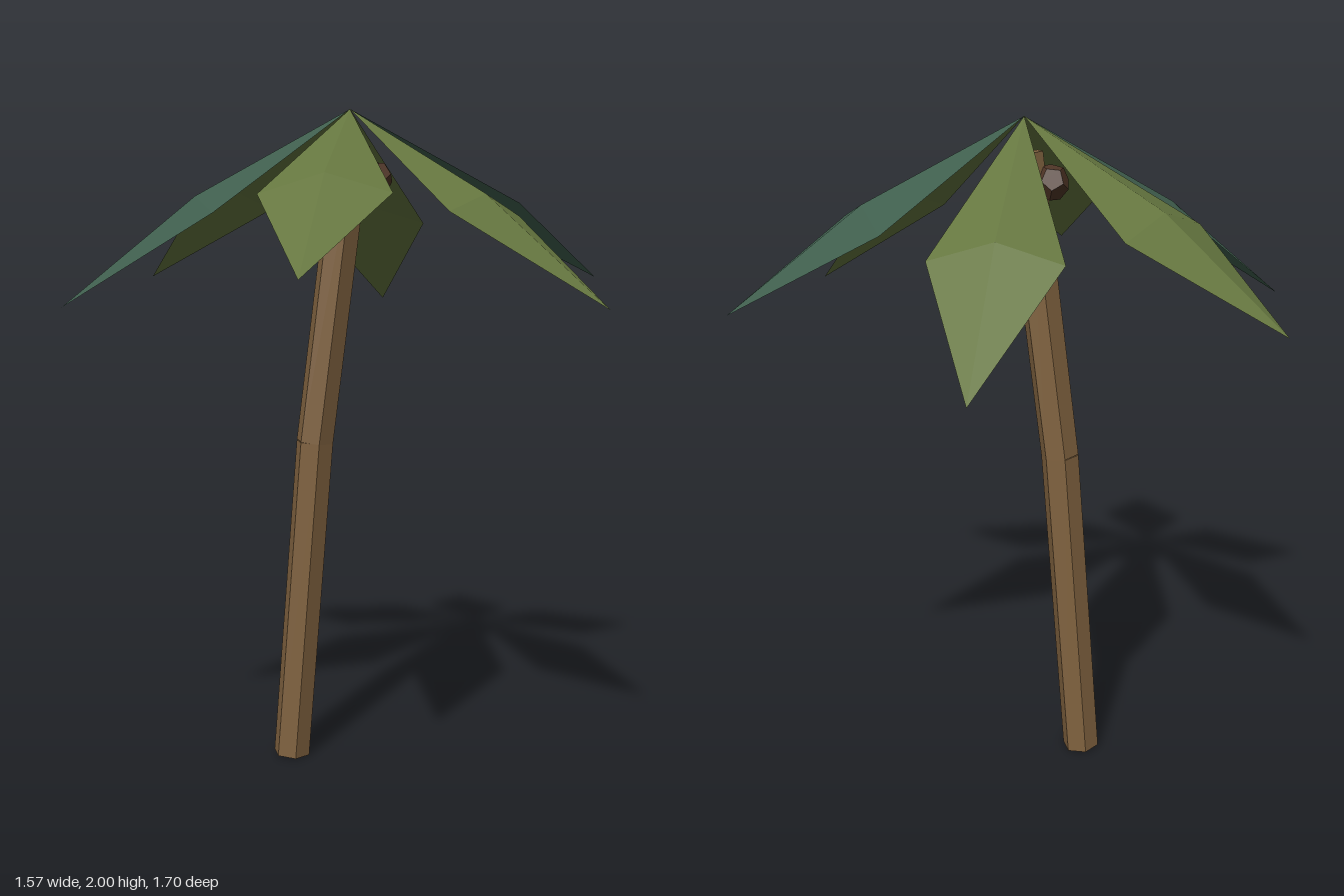
import * as THREE from 'three';

const paint = (color, side = THREE.FrontSide) =>
  new THREE.MeshStandardMaterial({ color, flatShading: true, side });

// Straight six-sided log between two points
function log(name, from, to, radius, material) {
  const a = new THREE.Vector3(...from), b = new THREE.Vector3(...to);
  const geometry = new THREE.CylinderGeometry(radius, radius, a.distanceTo(b), 6);
  geometry.rotateY(Math.PI / 2);
  const mesh = new THREE.Mesh(geometry, material);
  mesh.name = name;
  mesh.position.lerpVectors(a, b, 0.5);
  mesh.quaternion.setFromUnitVectors(new THREE.Vector3(0, 1, 0), b.sub(a).normalize());
  return mesh;
}

// Folded kite-shaped leaf running along +z from its root, raised along the midrib
function leafGeometry(drop) {
  const length = 0.855, along = 0.472, halfWidth = 0.179, ridge = 0.054;
  const sag = -drop * along / length;
  const geometry = new THREE.BufferGeometry();
  geometry.setAttribute('position', new THREE.Float32BufferAttribute([
    0, 0, 0,
    -halfWidth, sag, along,
    0, sag + ridge, along,
    halfWidth, sag, along,
    0, -drop, length,
  ], 3));
  geometry.setIndex([0, 1, 2, 0, 2, 3, 1, 4, 2, 2, 4, 3]);
  const flat = geometry.toNonIndexed();
  flat.computeVertexNormals();
  return flat;
}

export function createModel() {
  const tree = new THREE.Group();
  tree.name = 'palmTree';

  // Trunk: two leaning segments meeting at a slight bend
  const bark = paint(0x80623f);
  tree.add(
    log('lowerTrunk', [-0.193, 0.005, 0], [-0.112, 1.01, 0], 0.058, bark),
    log('upperTrunk', [-0.112, 1.01, 0], [0.003, 1.9, 0], 0.058, bark),
  );

  // Coconuts clustered under the crown
  const shell = paint(0x4f3526);
  for (const [x, y, z] of [[-0.075, 1.82, 0.01], [0.07, 1.8, -0.02], [0.045, 1.82, 0.04]]) {
    const coconut = new THREE.Mesh(new THREE.DodecahedronGeometry(0.054), shell);
    coconut.name = 'coconut';
    coconut.position.set(x, y, z);
    coconut.rotation.set(x * 9, z * 20, 0.3);
    tree.add(coconut);
  }

  // Crown: six leaves, alternately higher and lower
  const olive = paint(0x65763f, THREE.DoubleSide);
  const teal = paint(0x3f5e4d, THREE.DoubleSide);
  const crown = new THREE.Group();
  crown.name = 'crown';
  crown.position.y = 2;
  for (let i = 0; i < 6; i++) {
    const leaf = new THREE.Mesh(leafGeometry(i % 2 ? 0.57 : 0.49), i % 3 === 2 ? teal : olive);
    leaf.name = 'leaf';
    leaf.rotation.y = THREE.MathUtils.degToRad(7 + 60 * i);
    crown.add(leaf);
  }
  tree.add(crown);
  return tree;
}
